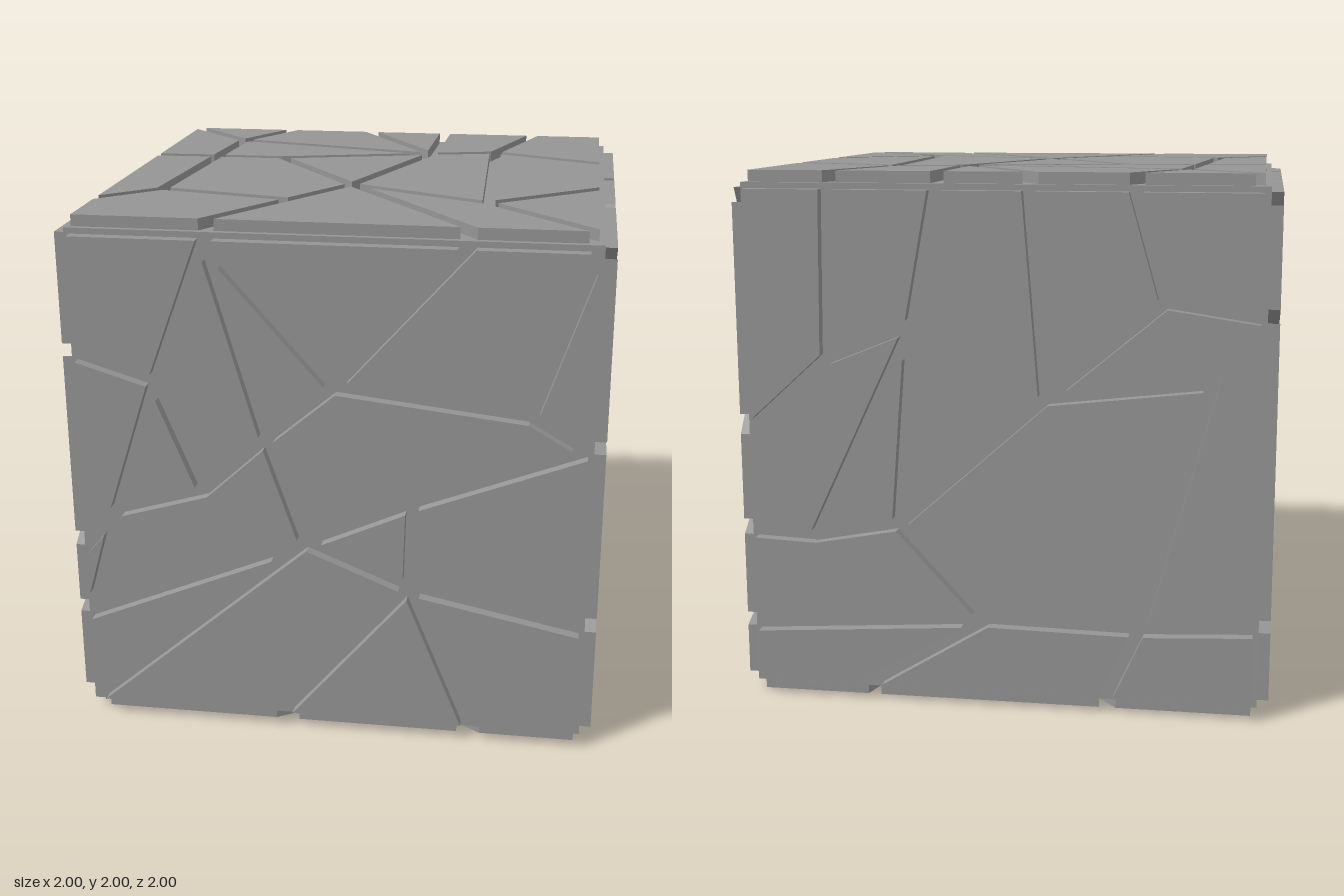
import * as THREE from 'three';

const E = 0.935;        // half extent of a plated face
const GROOVE = 0.024;   // half width of a groove
const CORE = 0.957;     // half size of the inner block
const Q = Math.PI / 2;

const material = new THREE.MeshStandardMaterial({ color: 0x959595, flatShading: true });
const isClose = (a, b) => Math.abs(a - b) < 1e-5;

// Where cracks run over the cube's edges, each shared by two faces:
// axis of the edge, signs of the other two axes, positions along the edge
const crackPoints = [
  ['x', 1, 1, -0.44, 0.49], ['x', 1, -1, -0.49, -0.11, 0.23, 0.63],
  ['x', -1, 1, -0.18, 0.53], ['x', -1, -1, -0.4, 0.5],
  ['y', 1, 1, -0.5, 0.21], ['y', -1, 1, -0.56, -0.27, 0.49],
  ['y', 1, -1, -0.72, -0.35, 0.05], ['y', -1, -1, -0.65, 0.5],
  ['z', 1, 1, -0.3, 0.22], ['z', -1, 1, -0.24, 0.64],
  ['z', 1, -1, -0.6, -0.05, 0.57], ['z', -1, -1, -0.6, 0.1],
].flatMap(([axis, s, t, ...along]) => along.map((p) => {
  const at = [s * E, t * E];
  at.splice('xyz'.indexOf(axis), 0, p);
  return new THREE.Vector3(...at);
}));

// Shrinks a cell by the groove width, leaving edges on the face border in place
function insetCell(points) {
  if (THREE.ShapeUtils.area(points) < 0) points.reverse();
  const lines = points.map((p, i) => {
    const q = points[(i + 1) % points.length];
    const onBorder = ['x', 'y'].some((k) => isClose(Math.abs(p[k]), E) && isClose(p[k], q[k]));
    const n = new THREE.Vector2(p.y - q.y, q.x - p.x).normalize();
    return { n, d: n.dot(p) + (onBorder ? 0 : GROOVE) };
  });
  return lines.map((l, i) => {
    const k = lines[(i + lines.length - 1) % lines.length];
    const det = k.n.cross(l.n);
    return new THREE.Vector2(
      (k.d * l.n.y - l.d * k.n.y) / det,
      (k.n.x * l.d - l.n.x * k.d) / det,
    );
  });
}

// One face of plates. Node names in the cells: 1-4 are the corners, small letters the
// edge cracks counter-clockwise from the top left, capitals the inner crack junctions.
function plateFace(name, turnX, turnY, inner, cells) {
  const face = new THREE.Group();
  face.name = name + 'Plates';
  face.rotation.set(turnX, turnY, 0);
  face.position.y = 1;

  const nodes = {
    1: new THREE.Vector2(-E, E), 2: new THREE.Vector2(E, E),
    3: new THREE.Vector2(E, -E), 4: new THREE.Vector2(-E, -E),
  };
  const toLocal = face.quaternion.clone().invert();
  const turn = (p) => (Math.atan2(p.y, p.x) + 2.5 * Q) % (4 * Q);
  crackPoints
    .map((p) => p.clone().applyQuaternion(toLocal))
    .filter((p) => isClose(p.z, E))
    .sort((p, q) => turn(p) - turn(q))
    .forEach((p, i) => { nodes['abcdefghijkl'[i]] = new THREE.Vector2(p.x, p.y); });
  for (let i = 0; i < inner.length; i += 2) {
    nodes['ABCDEFGHIJKL'[i / 2]] = new THREE.Vector2(inner[i], inner[i + 1]);
  }

  for (const cell of cells.split(' ')) {
    const shape = new THREE.Shape(insetCell([...cell].map((k) => nodes[k])));
    const plate = new THREE.Mesh(
      new THREE.ExtrudeGeometry(shape, { depth: 0.05, bevelEnabled: false }),
      material,
    );
    plate.name = name + 'Plate';
    plate.position.z = 0.95;
    face.add(plate);
  }
  return face;
}

export function createModel() {
  const model = new THREE.Group();

  // Inner block seen at the bottom of the grooves
  const core = new THREE.Mesh(new THREE.BoxGeometry(2 * CORE, 2 * CORE, 2 * CORE), material);
  core.name = 'innerBlock';
  core.position.y = 1;
  model.add(core);

  // Cracked stone plates on the six faces
  model.add(
    plateFace('front', 0, 0,
      [-0.64, 0.4, -0.23, 0.2, 0.02, 0.41, 0.73, 0.33, 0.31, -0.03,
        -0.09, -0.21, 0.3, -0.37, -0.47, -0.02, -0.81, -0.12],
      '1aAi iAHB AIH abIA bcI IcFBH iBC iCh hCD2 2Dg CBFEgD FGE EGfg c4F 4dGF deG Ge3f'),
    plateFace('leftSide', 0, Q,
      [-0.49, 0.62, -0.45, 0.21, 0.02, 0.19, 0.34, 0.41, 0.66, 0.4, -0.03, -0.21,
        0.65, -0.14, -0.31, -0.6, -0.71, -0.36, -0.06, -0.81, 0.65, -0.6],
      '1Aj jACi iCD iDE2 2Eh 1aBA ABC CFD DFGE EGgh abIB BIHFC b4cHI HcJ FHJKG cdJ JdeK Ke3f GKfg'),
    plateFace('top', -Q, 0,
      [-0.65, 0.64, -0.68, 0.25, -0.4, 0.25, 0.22, 0.42, 0.49, 0.49,
        -0.02, -0.27, -0.73, -0.45, -0.21, -0.57, 0.53, -0.53],
      '1Aj jADi iDh hDEg gEf2 1aBA ABCD abGB BGHFC CFD DFIE EIef b4cHG FHcd Fd3I I3e'),
    plateFace('back', 0, 2 * Q,
      [-0.64, 0.32, -0.32, 0.45, 0.17, 0.19, 0.77, 0.26, 0.52, -0.67,
        0.6, 0.55, -0.38, -0.3, -0.05, -0.66, -0.7, -0.36],
      '1aAk kABj jBGCi iCFh hFg2 abIBA BIG bcHGI c4dH deEH Ee3f GHEDC FCDEfg'),
    plateFace('rightSide', 0, -Q,
      [-0.59, 0.39, -0.17, -0.02, 0.23, -0.28, 0.62, 0.39, 0.6, -0.43,
        0.63, -0.07, -0.69, -0.65, -0.25, -0.69, 0.44, -0.64],
      '1Ai 1aA abGA AGHB iABDh hDg2 DFfg FEef BCD CEFD BHC CHIE EI3e b4cG GcdH Hd3I'),
    plateFace('bottom', Q, 0,
      [0.44, 0.32, 0.26, 0.02, 0.44, -0.75, -0.17, -0.66, -0.41, 0.4, -0.58, -0.21, 0.18, 0.71],
      'g2hGA fgAB efBDC 3eCd dCDc cDFb4 bFEa aE1 1EGi iGh AGEB BEFD'),
  );
  return model;
}
